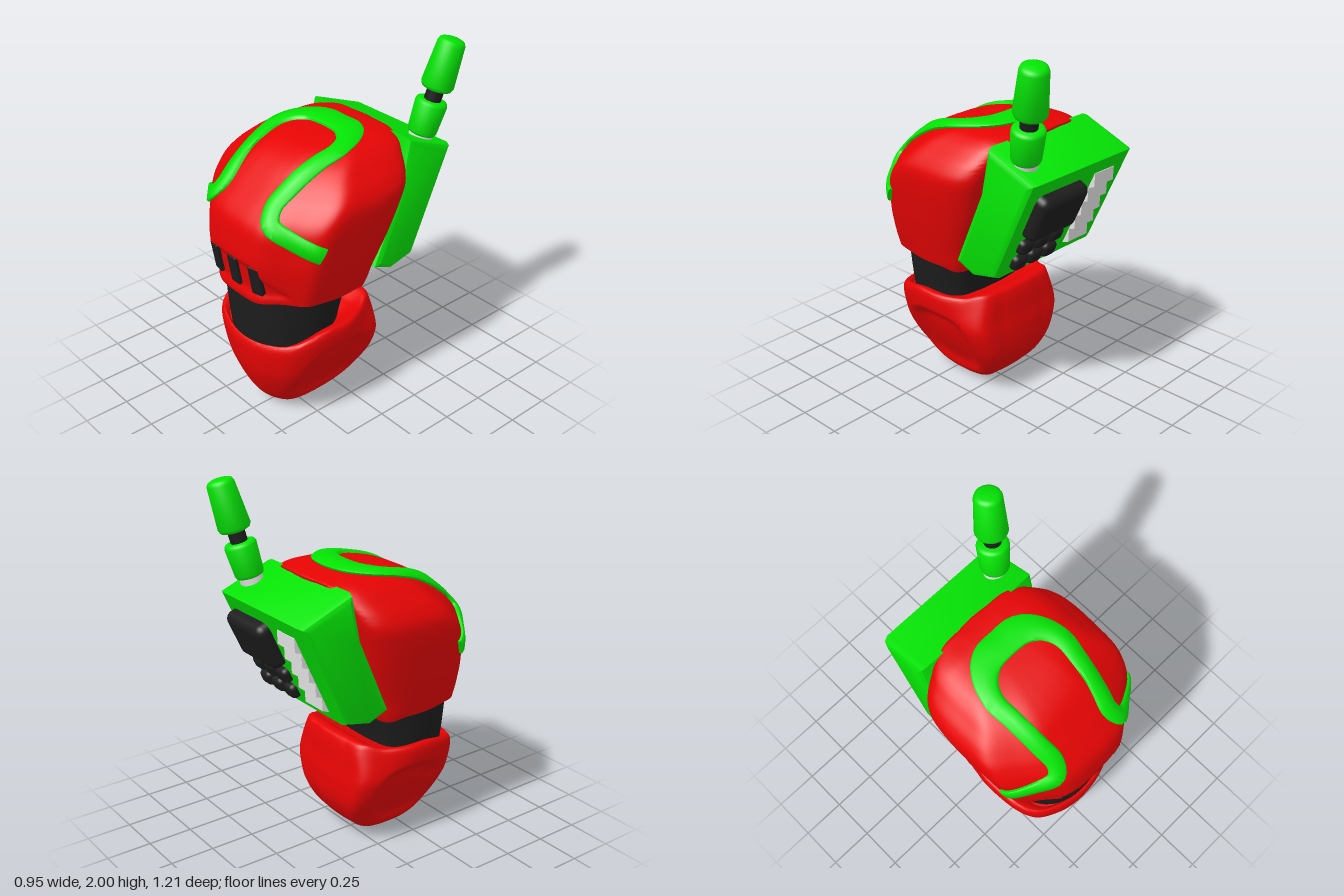
import * as THREE from 'three';
import { toCreasedNormals } from 'three/addons/utils/BufferGeometryUtils.js';
import { RoundedBoxGeometry } from 'three/addons/geometries/RoundedBoxGeometry.js';

const V = (x, y, z) => new THREE.Vector3(x, y, z);
const material = (name, color) => {
  const m = new THREE.MeshStandardMaterial({ color });
  m.name = name;
  return m;
};
const red = material('red', 0xe60404);
const green = material('green', 0x04e404);
const black = material('black', 0x1d1d1e);
const grey = material('light grey', 0xe2e2e2);

function add(parent, name, geometry, mat, x = 0, y = 0, z = 0) {
  const m = new THREE.Mesh(geometry, mat);
  m.name = name;
  m.position.set(x, y, z);
  parent.add(m);
  return m;
}

// Skin over closed rings of points, with both ends capped
function loft(rings, crease = 0.7) {
  const n = rings[0].length, pos = [], idx = [];
  rings.forEach(r => r.forEach(p => pos.push(p.x, p.y, p.z)));
  for (let j = 0; j < rings.length - 1; j++) {
    for (let i = 0; i < n; i++) {
      const a = j * n + i, b = j * n + (i + 1) % n;
      idx.push(a, b, b + n, a, b + n, a + n);
    }
  }
  [0, rings.length - 1].forEach(j => {
    const c = rings[j].reduce((s, p) => s.add(p), V(0, 0, 0)).divideScalar(n);
    const k = pos.length / 3;
    pos.push(c.x, c.y, c.z);
    for (let i = 0; i < n; i++) {
      const a = j * n + i, b = j * n + (i + 1) % n;
      if (j) idx.push(k, a, b); else idx.push(k, b, a);
    }
  });
  const g = new THREE.BufferGeometry();
  g.setAttribute('position', new THREE.Float32BufferAttribute(pos, 3));
  g.setIndex(idx);
  return toCreasedNormals(g, crease);
}

// Unit outline from a half outline: x is the share of the width, y the share of the depth
function outline(half, n) {
  const other = half.slice(1, -1).reverse().map(([x, d]) => [-x, d]);
  const pts = [...half, ...other].map(([x, d]) => V(x, d, 0));
  return new THREE.CatmullRomCurve3(pts, true).getSpacedPoints(n).slice(0, n);
}

// Body through levels of [height, half width, front z, back z]
function body(levels, shape, steps, place, crease) {
  const curve = new THREE.CubicInterpolant(levels.map((_, i) => i), levels.flat(), 4, new Float32Array(4));
  const rings = [];
  for (let k = 0; k <= (levels.length - 1) * steps; k++) {
    const [h, w, f, b] = Array.from(curve.evaluate(k / steps));
    rings.push(shape.map(p => place(p.x * w, h, f + (b - f) * p.y)));
  }
  return loft(rings, crease);
}

const smooth = THREE.MathUtils.smoothstep;

export function createModel() {
  const model = new THREE.Group();
  model.name = 'armoured torso with radio pack';

  // Chest shell, with a shallow arched recess for the vents
  const chestShape = outline([[0, 0], [0.25, 0.005], [0.45, 0.03], [0.71, 0.15], [0.94, 0.265], [0.98, 0.32], [1, 0.5],
    [1, 0.74], [0.96, 0.87], [0.86, 0.955], [0.4, 0.985], [0, 1]], 200);
  const chest = add(model, 'chest', body([
    [0.79, 0.375, 0.57, -0.03], [0.85, 0.39, 0.582, -0.06], [1.0, 0.425, 0.605, -0.12],
    [1.1, 0.445, 0.602, -0.16], [1.23, 0.468, 0.575, -0.2], [1.33, 0.473, 0.49, -0.23],
    [1.4, 0.44, 0.415, -0.25], [1.46, 0.383, 0.345, -0.27], [1.5, 0.338, 0.275, -0.285],
    [1.53, 0.285, 0.19, -0.295], [1.548, 0.21, 0.08, -0.295], [1.555, 0.1, -0.06, -0.25],
  ], chestShape, 9, (x, y, z) => {
    const hem = 1 - smooth(y, 0.79, 0.9);
    const dy = hem * (0.02 * smooth(Math.abs(x), 0.1, 0.28) * smooth(z, 0.2, 0.4) - 0.03 * smooth(-z, -0.1, 0.03))
      - 0.015 * smooth(y, 1.48, 1.55) * smooth(-z, 0.15, 0.3);
    const arch = 0.15 + 0.14 * smooth(1.03 - y, 0, 0.2);
    const dent = z > 0.35 ? (1 - smooth(Math.abs(x), arch - 0.035, arch + 0.03)) * (1 - smooth(y, 0.99, 1.04)) * smooth(y, 0.8, 0.87) : 0;
    return V(x, y + dy, z - 0.024 * dent);
  }, 1), red);

  // Front vents
  for (const s of [-1, 0, 1]) {
    const bar = add(model, 'frontVent', new RoundedBoxGeometry(0.07, 0.17, 0.07, 2, 0.008), black,
      s * 0.155, 0.942, s ? 0.547 : 0.557);
    bar.rotation.set(0.17, s * 0.2, 0);
  }

  // Raised trim running over the top and down the front, laid on the chest surface
  const half = [[0.11, 1.55, -0.065], [0.19, 1.545, 0], [0.23, 1.53, 0.1], [0.225, 1.5, 0.22],
    [0.2, 1.4, 0.38], [0.19, 1.33, 0.47], [0.23, 1.265, 0.52], [0.33, 1.205, 0.48], [0.455, 1.13, 0.38]];
  const path = new THREE.CatmullRomCurve3([
    ...half.slice().reverse().map(([x, y, z]) => V(-x, y, z)), V(0, 1.555, -0.08),
    ...half.map(p => V(...p)),
  ]);
  const core = V(0, 1.1, 0.1), ray = new THREE.Raycaster();
  chest.updateMatrixWorld(true);
  const onChest = (p, lift) => {
    const d = p.clone().sub(core).normalize();
    ray.set(core.clone().addScaledVector(d, 3), d.clone().negate());
    const hit = ray.intersectObject(chest)[0];
    return (hit ? hit.point : p.clone()).addScaledVector(d, lift);
  };
  const trimRings = [];
  for (let k = 0; k <= 90; k++) {
    const u = k / 90, p = path.getPointAt(u);
    const side = path.getTangentAt(u).cross(p.clone().sub(core).normalize()).normalize();
    const w = 0.046 + 0.026 * (1 - smooth(Math.abs(u - 0.5), 0.02, 0.14));
    trimRings.push([[-1, -0.02], [-1, 0.012], [-0.8, 0.02], [0, 0.022], [0.8, 0.02], [1, 0.012], [1, -0.02]]
      .map(([s, lift]) => onChest(p.clone().addScaledVector(side, s * w), lift)));
  }
  add(model, 'chestTrim', loft(trimRings, 0.8), green);

  // Waist and pelvis
  const waistShape = outline([[0, 0], [0.5, 0.06], [0.83, 0.22], [1, 0.46], [1, 0.7], [0.8, 0.92], [0.4, 0.99], [0, 1]], 96);
  add(model, 'waist', body([[0.45, 0.275, 0.53, 0.07], [0.6, 0.295, 0.545, 0.05], [0.82, 0.328, 0.556, 0]],
    waistShape, 4, V), black);
  const hipShape = outline([[0, 0], [0.5, 0.045], [0.86, 0.16], [1, 0.35], [1, 0.77], [0.88, 0.94], [0.42, 0.99], [0, 1]], 120);
  add(model, 'pelvis', body([
    [0, 0.05, 0.27, 0.13], [0.03, 0.11, 0.35, 0.05], [0.12, 0.163, 0.42, -0.05], [0.25, 0.215, 0.47, -0.13],
    [0.42, 0.278, 0.51, -0.175], [0.6, 0.328, 0.54, -0.178], [0.75, 0.35, 0.553, -0.165],
    [0.93, 0.363, 0.56, -0.15], [1, 0.347, 0.547, -0.12], [0.97, 0.3, 0.535, -0.02], [0.93, 0.28, 0.525, 0.05],
  ], hipShape, 8, (x, t, z) => {
    // The rim dips at the front and narrows behind, and each side has a hollow for the leg
    const top = 0.6 - 0.09 * Math.max(0, (z - 0.25) / 0.3) ** 1.4 + 0.03 * smooth(-z, 0, 0.1);
    const y = Math.max(0, t) * top;
    const r = Math.abs((z - 0.165) / 0.23) ** 3 + Math.abs((y - 0.275) / 0.21) ** 3;
    const narrow = 0.2 * smooth(t, 0.65, 1) * smooth(-z, -0.15, 0.14);
    return V(x * (1 - 0.18 * (1 - smooth(r, 0.2, 1.1))) * (1 - narrow), y, z);
  }, 1), red);

  // Radio pack: side profile of [z, y] drawn out across x
  const pack = new THREE.Group();
  pack.name = 'radioPack';
  model.add(pack);
  const profile = new THREE.Shape([[-0.03, 0.86], [-0.155, 0.81], [-0.31, 0.845], [-0.565, 1.41], [-0.26, 1.53], [-0.21, 1.28]]
    .map(([z, y]) => new THREE.Vector2(-z, y)).reverse());
  const caseGeo = new THREE.ExtrudeGeometry(profile, {
    depth: 0.68, bevelThickness: 0.04, bevelSize: 0.035, bevelOffset: -0.035, bevelSegments: 2,
  });
  caseGeo.translate(0, 0, -0.34).rotateY(Math.PI / 2);
  add(pack, 'packCase', toCreasedNormals(caseGeo, 0.6), green);

  // Control panel on the sloping back, with y up the slope and z outwards
  const panel = new THREE.Group();
  panel.name = 'controlPanel';
  const up = V(0, 0.565, -0.255).normalize(), right = V(-1, 0, 0);
  panel.quaternion.setFromRotationMatrix(new THREE.Matrix4().makeBasis(right, up, right.clone().cross(up)));
  panel.position.set(0, 1.1275, -0.4375);
  pack.add(panel);
  add(panel, 'screen', new RoundedBoxGeometry(0.34, 0.27, 0.12, 4, 0.045), black, -0.14, 0.09, 0.01);
  for (let r = 0; r < 2; r++) {
    for (let c = 0; c < 3; c++) {
      add(panel, 'button', new RoundedBoxGeometry(0.096, 0.088, 0.08, 3, 0.03), black,
        -0.14 + (c - 1) * 0.11, -0.115 - r * 0.108, 0);
    }
  }
  // Louvred grille with a sawtooth section
  const teeth = [new THREE.Vector2(0, -0.01), new THREE.Vector2(0, 0.003)];
  for (let i = 0; i < 5; i++) {
    teeth.push(new THREE.Vector2(i * 0.096 + 0.028, 0.03), new THREE.Vector2(i * 0.096 + 0.096, 0.003));
  }
  teeth.push(new THREE.Vector2(0.48, -0.01));
  const grille = new THREE.ExtrudeGeometry(new THREE.Shape(teeth), { depth: 0.15, bevelEnabled: false });
  // Shape x runs up the slope, shape y runs outwards
  grille.applyMatrix4(new THREE.Matrix4().makeBasis(V(0, 1, 0), V(0, 0, 1), V(1, 0, 0)));
  add(panel, 'grille', grille, grey, 0.115, -0.255, 0);

  // Antenna, leaning back and outwards
  const antenna = new THREE.Group();
  antenna.name = 'antenna';
  antenna.position.set(0.28, 1.46, -0.422);
  antenna.quaternion.setFromUnitVectors(V(0, 1, 0), V(0.15, 1, -0.23).normalize());
  model.add(antenna);
  const sleeve = (name, r0, r1, y0, y1, e) => {
    const pts = [[0, y0], [r0 - e, y0], [r0 - e * 0.3, y0 + e * 0.3], [r0, y0 + e],
      [r1, y1 - e], [r1 - e * 0.3, y1 - e * 0.3], [r1 - e, y1], [0, y1]];
    const g = new THREE.LatheGeometry(pts.map(p => new THREE.Vector2(...p)), 32);
    add(antenna, name, toCreasedNormals(g, 0.9), green);
  };
  add(antenna, 'antennaSocket', new THREE.CylinderGeometry(0.062, 0.062, 0.1, 24), grey, 0, 0.01, 0);
  add(antenna, 'antennaRod', new THREE.CylinderGeometry(0.045, 0.045, 0.3, 24), black, 0, 0.2, 0);
  sleeve('antennaBase', 0.077, 0.085, 0.025, 0.215, 0.02);
  sleeve('antennaTip', 0.086, 0.072, 0.275, 0.545, 0.025);

  return model;
}
